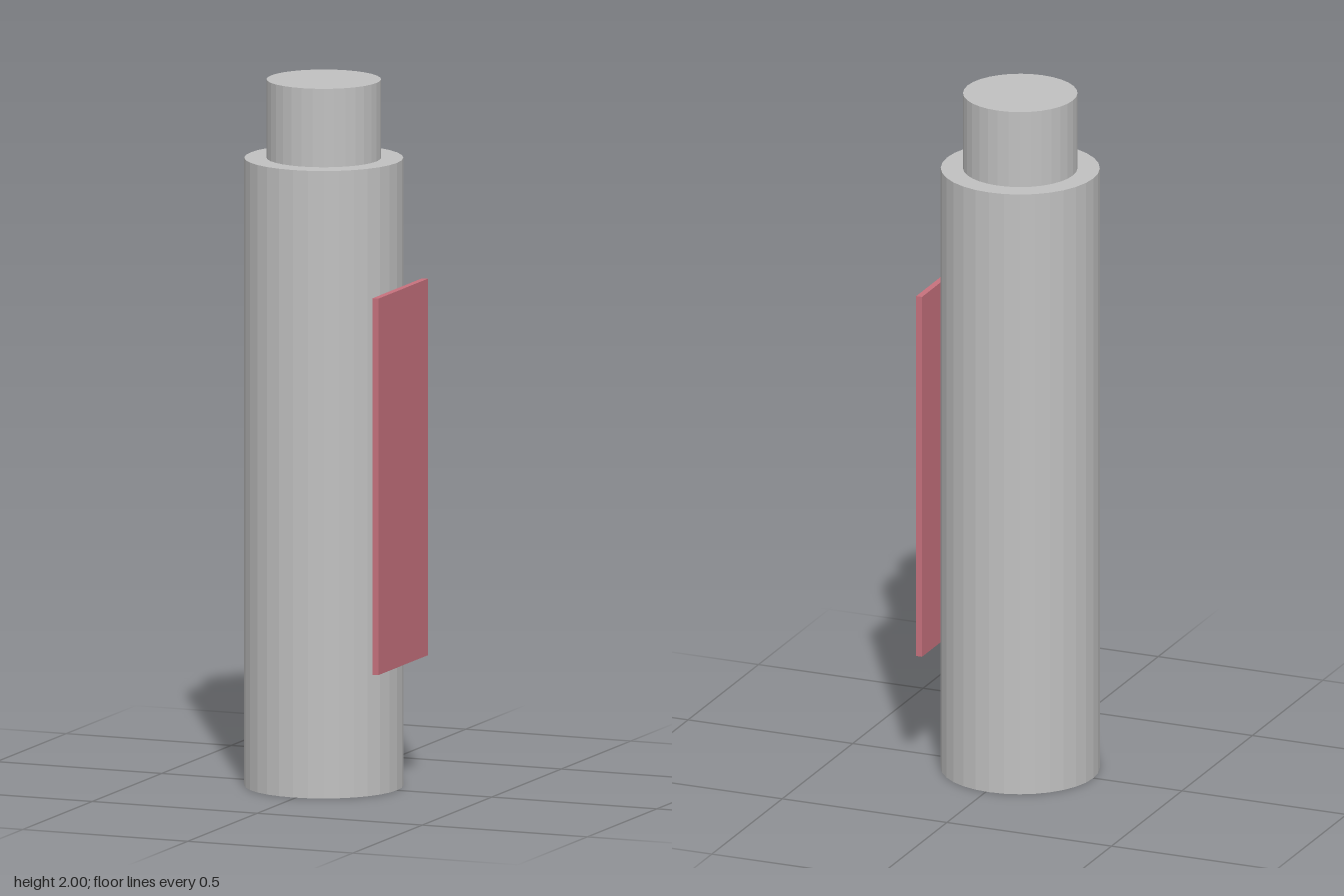
import * as THREE from 'three';

export function createModel() {
  const group = new THREE.Group();
  const grey = new THREE.MeshStandardMaterial({ color: 0xc0c0c0, flatShading: true });
  grey.name = 'light grey';
  const rose = new THREE.MeshStandardMaterial({ color: 0xc6717d });
  rose.name = 'rose';

  const add = (name, geometry, material, x, y) => {
    const mesh = new THREE.Mesh(geometry, material);
    mesh.name = name;
    mesh.position.set(x, y, 0);
    group.add(mesh);
  };

  // main cylinder and the narrower cap on top of it
  const axisX = -0.0089, bodyH = 1.7778, capH = 0.2222;
  add('body', new THREE.CylinderGeometry(0.2222, 0.2222, bodyH, 32), grey, axisX, bodyH / 2);
  add('cap', new THREE.CylinderGeometry(0.16, 0.16, capH, 32), grey, axisX, bodyH + capH / 2);

  // flat label plate touching the left side of the body
  add('labelPlate', new THREE.BoxGeometry(0.0178, 1.0667, 0.3556), rose, 0.2222, bodyH / 2);

  return group;
}
